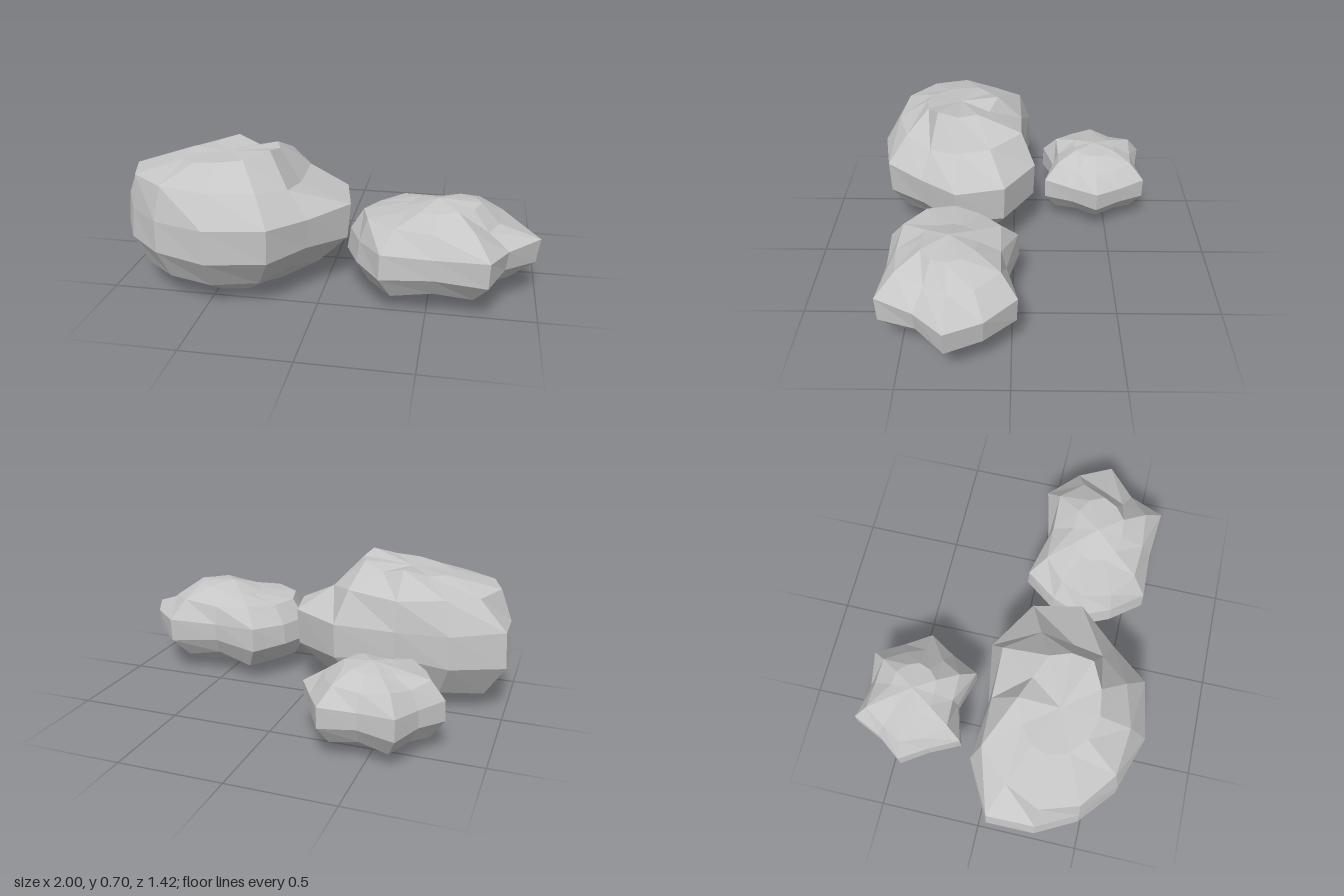
import * as THREE from 'three';

const stone = new THREE.MeshStandardMaterial({ color: 0xc6c6c6, flatShading: true });
stone.name = 'stone grey';

// How strongly each ring, from top to bottom, follows its lobes
// and how far it leans along x (in units of the rock's own lean).
const RINGS = [
  { follow: 0.15, lean: 0.6 },
  { follow: 1, lean: 0 },
  { follow: 1, lean: 0 },
  { follow: 1, lean: -0.25 },
  { follow: 0.75, lean: -0.6 },
  { follow: 0.35, lean: 0 },
];
const SPOKES = 12;

// Ellipsoid of 12 spokes whose rings swell and shrink by lobes, listed every
// 30 degrees from +x towards +z. Poles are the end heights, tip scales the
// rings next to them, and peaks raise single corners of the top ring.
function makeRock({ name, center, radii, poles, lean, tip, peaks, shoulder, waist }) {
  const geometry = new THREE.SphereGeometry(1, SPOKES, RINGS.length + 1);
  const pos = geometry.attributes.position;
  const v = new THREE.Vector3();
  for (let i = 0; i < pos.count; i++) {
    v.fromBufferAttribute(pos, i);
    const row = Math.floor(i / (SPOKES + 1)) - 1;
    if (row < 0 || row >= RINGS.length) {
      pos.setXYZ(i, 0, poles[row < 0 ? 0 : 1] - center[1], 0);
      continue;
    }
    const angle = Math.atan2(v.z, v.x);
    const spoke = (Math.round((angle / Math.PI) * 6) + SPOKES) % SPOKES;
    const { follow, lean: ringLean } = RINGS[row];
    const lobes = row === 1 ? shoulder : waist;
    let swell = 1 + follow * (lobes[spoke] - 1) + ringLean * lean * Math.cos(angle);
    if (row === 0 || row === 5) swell *= tip;
    if (row === 0) swell += peaks[spoke] ?? 0;
    pos.setXYZ(i, v.x * radii[0] * swell, v.y * radii[1] * swell, v.z * radii[2] * swell);
  }
  geometry.computeVertexNormals();
  const mesh = new THREE.Mesh(geometry, stone);
  mesh.name = name;
  mesh.position.set(...center);
  return mesh;
}

export function createModel() {
  const group = new THREE.Group();
  group.name = 'rockCluster';
  group.add(
    makeRock({
      name: 'largeRock', center: [-0.47, 0.34, 0.285], radii: [0.54, 0.35, 0.42],
      poles: [0.655, 0.005], lean: 0.12, tip: 1, peaks: { 1: 0.1, 9: 0.1, 10: -0.08 },
      shoulder: [0.83, 0.88, 0.98, 1.02, 1.08, 1.08, 1.07, 1.02, 1.1, 0.98, 1.14, 1],
      waist: [1.12, 0.93, 1.05, 1.03, 0.95, 0.91, 0.97, 1.13, 1.03, 0.84, 1.11, 1.18],
    }),
    makeRock({
      name: 'mediumRock', center: [0.53, 0.255, 0.28], radii: [0.42, 0.23, 0.31],
      poles: [0.485, 0.02], lean: 0.16, tip: 0.95, peaks: {},
      shoulder: [0.85, 0.82, 1.08, 1, 1.1, 1.1, 1.06, 1.02, 1.08, 0.95, 1.12, 1.02],
      waist: [1.15, 0.92, 1.2, 0.97, 1.15, 0.98, 1.0, 0.99, 1.17, 0.84, 1.18, 1.1],
    }),
    makeRock({
      name: 'smallRock', center: [-0.47, 0.215, -0.44], radii: [0.31, 0.2, 0.275],
      poles: [0.405, 0.025], lean: 0.06, tip: 0.94, peaks: {},
      shoulder: [0.92, 0.9, 1.08, 0.92, 1.1, 1.03, 1.08, 0.95, 1.1, 0.93, 1.03, 0.9],
      waist: [1.08, 0.95, 1.17, 0.82, 1.18, 0.95, 1.09, 0.91, 1.15, 0.88, 1.13, 0.95],
    }),
  );
  return group;
}
